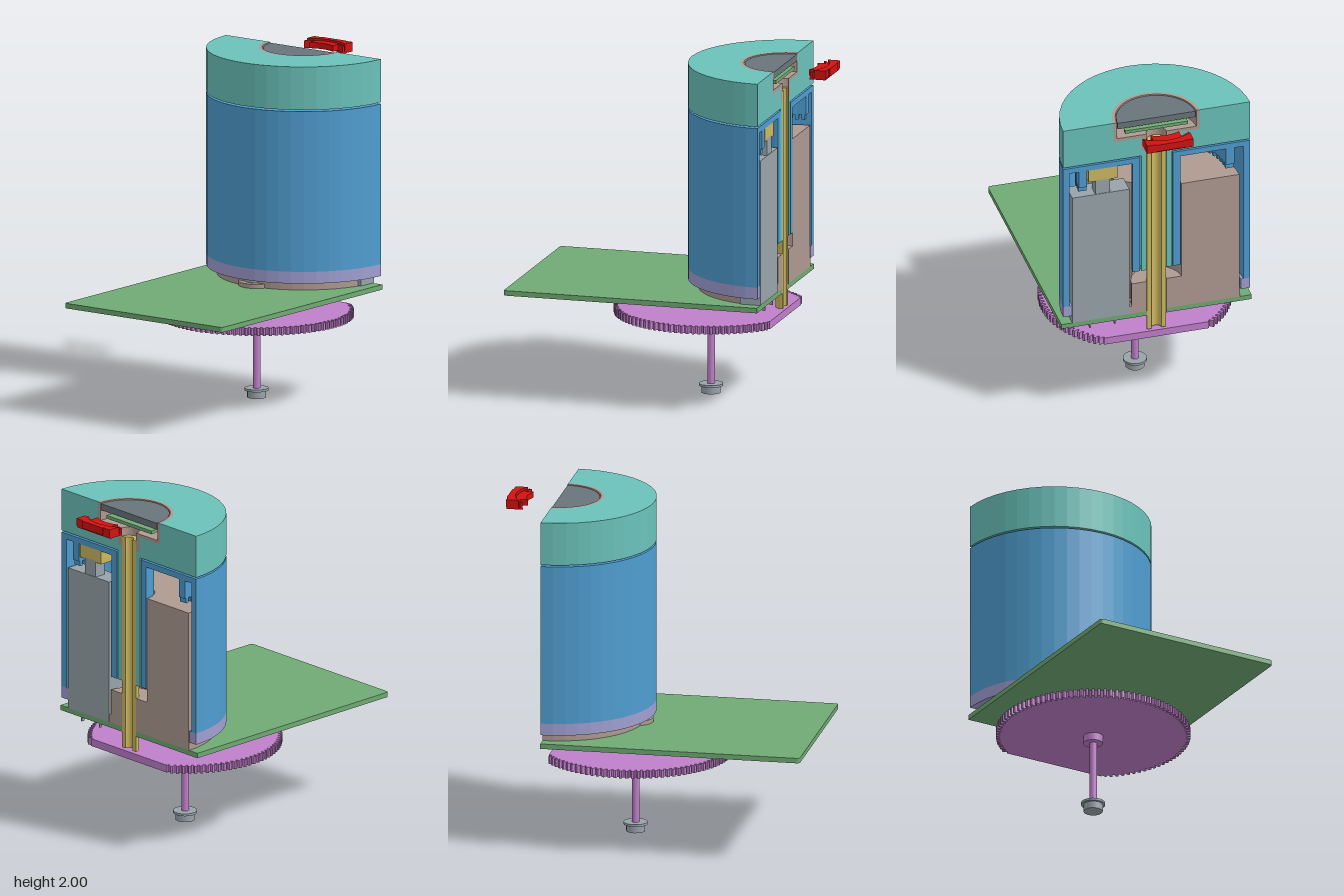
import * as THREE from 'three';
import { mergeGeometries } from 'three/addons/utils/BufferGeometryUtils.js';

const CUT = -0.62; // z of the section plane, which holds the main axis
const H = Math.PI / 2;

function material(name, color) {
  const m = new THREE.MeshStandardMaterial({ color });
  m.name = name;
  return m;
}

// Closed [r, y] profile (counter-clockwise) swept about y, with flat end faces
function sector(profile, from = -H, to = H, segments = 24) {
  const pts = profile.map(([r, y]) => new THREE.Vector2(r, y));
  const lathe = new THREE.LatheGeometry([...pts, pts[0].clone()], segments, from, to - from);
  const parts = [lathe.toNonIndexed()];
  for (const [phi, flip] of [[from, false], [to, true]]) {
    const cap = new THREE.ShapeGeometry(new THREE.Shape(pts));
    if (flip) cap.setIndex(Array.from(cap.index.array).reverse());
    parts.push(cap.rotateY(phi - H).toNonIndexed());
  }
  const geo = mergeGeometries(parts);
  geo.computeVertexNormals();
  return geo;
}

const rect = (r0, r1, y0, y1) => [[r0, y0], [r1, y0], [r1, y1], [r0, y1]];

// Plan outline (x, -z) extruded upward from y0 to y1
function slab(shape, y0, y1) {
  return new THREE.ExtrudeGeometry(shape, { depth: y1 - y0, bevelEnabled: false, curveSegments: 16 })
    .rotateX(-H).translate(0, y0, 0);
}

function box(x0, x1, y0, y1, z0, z1) {
  return new THREE.BoxGeometry(x1 - x0, y1 - y0, z1 - z0)
    .translate((x0 + x1) / 2, (y0 + y1) / 2, (z0 + z1) / 2);
}

function cylinder(r, y0, y1, sides = 24, rTop = r) {
  return new THREE.CylinderGeometry(rTop, r, y1 - y0, sides).translate(0, (y0 + y1) / 2, 0);
}

export function createModel() {
  const model = new THREE.Group();
  const teal = material('teal', 0x6ac2ba);
  const blue = material('blue', 0x4f9dd0);
  const lavender = material('lavender', 0xa09fd2);
  const beige = material('beige', 0xae9a91);
  const green = material('green', 0x70aa74);
  const purple = material('purple', 0xbf7fca);
  const gold = material('gold', 0xcdb860);
  const grey = material('grey', 0x98a4aa);
  const slate = material('slate', 0x68757a);
  const red = material('red', 0xd31212);

  const knob = new THREE.Group();
  knob.name = 'sectionedKnob';
  knob.position.z = CUT;
  const drive = new THREE.Group();
  drive.name = 'gearDrive';
  drive.position.z = -0.17;
  model.add(knob, drive);

  function add(parent, name, geo, mat) {
    const mesh = new THREE.Mesh(geo, mat);
    mesh.name = name;
    parent.add(mesh);
    return mesh;
  }

  // Cap with its hollow shaft
  add(knob, 'cap', sector([
    [0.06, 0.95], [0.092, 0.95], [0.092, 1.745], [0.565, 1.745], [0.565, 2],
    [0.26, 2], [0.26, 1.87], [0.09, 1.87], [0.09, 1.78], [0.06, 1.78],
  ]), teal);

  // Display cup, board and window set into the cap
  add(knob, 'displayCup', sector([
    [0.06, 1.78], [0.09, 1.78], [0.09, 1.87], [0.26, 1.87], [0.26, 2],
    [0.24, 2], [0.24, 1.89], [0.06, 1.89],
  ]), beige);
  add(knob, 'displayBoard', sector(rect(0, 0.19, 1.915, 1.935)), green);
  add(knob, 'displayWindow', sector(rect(0, 0.235, 1.955, 1.995)), slate);

  // Outer body with inner sleeve and toothed rib
  add(knob, 'body', sector([
    [0.1, 0.95], [0.145, 0.95], [0.145, 1.7], [0.42, 1.7], [0.42, 1.59], [0.47, 1.59],
    [0.47, 1.7], [0.525, 1.7], [0.525, 0.785], [0.565, 0.785], [0.565, 1.735], [0.1, 1.735],
  ]), blue);
  const teeth = [];
  for (let i = 0; i < 36; i++) {
    const a = -H + ((i + 0.5) / 36) * Math.PI;
    teeth.push(box(-0.01, 0.01, 1.56, 1.592, 0.42, 0.47).rotateY(a));
  }
  add(knob, 'detentTeeth', mergeGeometries(teeth), blue);
  add(knob, 'bottomRing', sector(rect(0.51, 0.565, 0.715, 0.785)), lavender);

  // Fixed carrier inside the body
  add(knob, 'carrierBase', sector(rect(0.06, 0.505, 0.665, 0.715)), beige);
  add(knob, 'carrierWell', sector(rect(0.06, 0.15, 0.715, 0.87)), beige);
  add(knob, 'carrierBlock', sector(rect(0.15, 0.5, 0.715, 1.51), -H, 0.95), beige);
  add(knob, 'centreTube', sector(rect(0.03, 0.058, 0.54, 1.84), -H, H, 16), gold);

  // Slide unit beside the tube
  add(knob, 'slideCase', box(0.165, 0.51, 0.667, 1.53, -0.003, 0.12), grey);
  add(knob, 'slideNeck', box(0.28, 0.37, 1.53, 1.63, 0, 0.07), grey);
  add(knob, 'slideContact', box(0.235, 0.41, 1.62, 1.7, 0, 0.09), gold);
  for (const x of [0.25, 0.4]) {
    add(knob, 'slidePin', box(x - 0.004, x + 0.004, 0.61, 0.636, 0.002, 0.02), grey);
  }

  // Circuit board with rounded front corners and a notch for the tube
  const w = 0.575, front = -0.915, c = 0.02;
  const board = new THREE.Shape();
  board.moveTo(-w, -CUT);
  board.lineTo(-w, front + c);
  board.quadraticCurveTo(-w, front, -w + c, front);
  board.lineTo(w - c, front);
  board.quadraticCurveTo(w, front, w, front + c);
  board.lineTo(w, -CUT);
  board.lineTo(0.059, -CUT);
  board.absarc(0, -CUT, 0.059, 0, -Math.PI, true);
  add(model, 'circuitBoard', slab(board, 0.635, 0.665), green);

  // Large gear, trimmed by the section plane
  const chord = -CUT - 0.17, n = 100, outline = [];
  for (let i = 0; i < n; i++) {
    for (const [t, r] of [[0, 0.54], [0.3, 0.54], [0.45, 0.565], [0.85, 0.565]]) {
      const a = H + ((i + t) / n) * Math.PI * 2;
      const p = new THREE.Vector2(r * Math.cos(a), r * Math.sin(a));
      if (p.y < chord - 0.002) outline.push(p);
    }
  }
  outline.push(new THREE.Vector2(0.318, chord), new THREE.Vector2(-0.318, chord));
  add(drive, 'gear', slab(new THREE.Shape(outline), 0.48, 0.525), purple);
  add(drive, 'gearHub', cylinder(0.057, 0.435, 0.482), purple);
  add(drive, 'gearShaft', cylinder(0.022, 0.04, 0.7, 16), purple);

  // Foot on the shaft and bearing boss above the board
  add(drive, 'footCollar', cylinder(0.07, 0.042, 0.056), grey);
  add(drive, 'footNut', cylinder(0.056, 0, 0.043, 12), grey);
  add(drive, 'bearingBoss', cylinder(0.105, 0.665, 0.69), beige);
  add(drive, 'bearingCap', cylinder(0.07, 0.69, 0.708), grey);

  // Loose clip behind the cap: a rear bar and a curved tongue
  const arcPoints = (r, x, steps = 10) => Array.from({ length: steps + 1 }, (_, i) => {
    const px = -x + (2 * x * i) / steps;
    return new THREE.Vector2(px, -CUT + Math.sqrt(r * r - px * px));
  });
  const V = (x, y) => new THREE.Vector2(x, y);
  const bar = new THREE.Shape([
    ...arcPoints(0.257, 0.14), V(0.14, 0.908), V(0.085, 0.908), V(0.085, 0.915),
    V(-0.085, 0.915), V(-0.085, 0.908), V(-0.14, 0.908),
  ]);
  add(model, 'clipBar', slab(bar, 1.955, 2), red);
  const tongue = new THREE.Shape([
    ...arcPoints(0.19, 0.085), ...arcPoints(0.25, 0.085).reverse(),
  ]);
  add(model, 'clipTongue', slab(tongue, 1.955, 1.99), red);
  const lip = new THREE.Shape([
    ...arcPoints(0.237, 0.14), ...arcPoints(0.25, 0.14).reverse(),
  ]);
  add(model, 'clipLip', slab(lip, 1.955, 1.99), red);
  const plate = new THREE.Shape([...arcPoints(0.235, 0.14), V(0.14, 0.905), V(-0.14, 0.905)]);
  add(model, 'clipPlate', slab(plate, 1.945, 1.955), red);

  return model;
}
